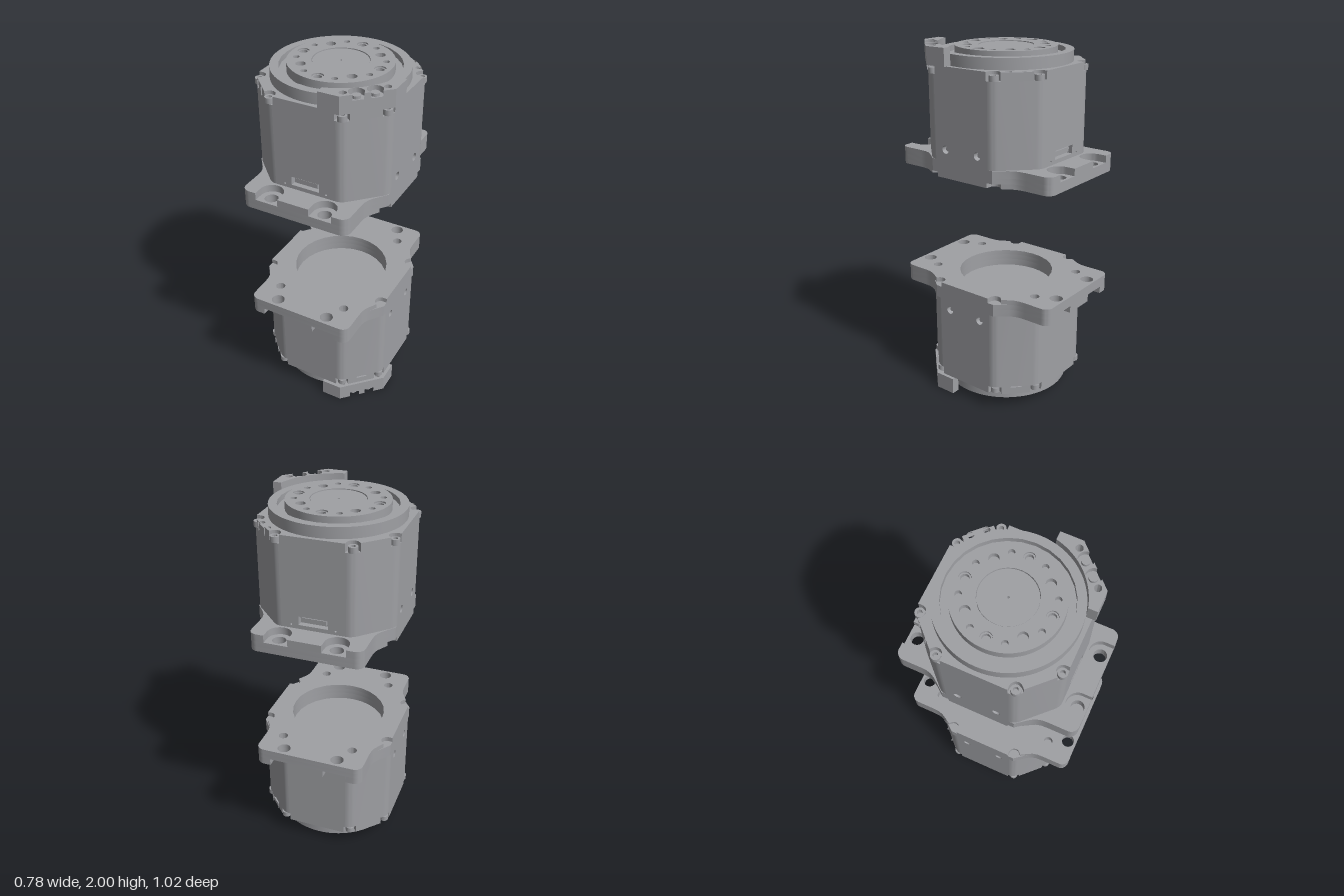
import * as THREE from 'three';
import { toCreasedNormals } from 'three/addons/utils/BufferGeometryUtils.js';

const metal = new THREE.MeshStandardMaterial({ color: 0x9fa0a4 });
metal.name = 'satin grey metal';

const V = (x, y) => new THREE.Vector2(x, y);

// Points of an arc, angles in degrees
function arc(cx, cy, r, a0, a1, n = 16) {
  return Array.from({ length: n + 1 }, (_, i) => {
    const a = THREE.MathUtils.degToRad(a0 + (a1 - a0) * i / n);
    return V(cx + r * Math.cos(a), cy + r * Math.sin(a));
  });
}

// Mirror one quarter outline into a full closed outline
function fourWay(q) {
  const r = [...q].reverse();
  return [...q, ...r.map(p => V(-p.x, p.y)), ...q.map(p => V(-p.x, -p.y)), ...r.map(p => V(p.x, -p.y))];
}

// Eight-way outline: half a quarter is reflected about the diagonal
const eightWay = h => fourWay([...h, ...[...h].reverse().map(p => V(p.y, p.x))]);

const circle = r => arc(0, 0, r, 0, 360 - 360 / 72, 71);

function makeShape(points, holes = []) {
  const s = new THREE.Shape(points);
  for (const [x, y, r] of holes) s.holes.push(new THREE.Path().absarc(x, y, r, 0, Math.PI * 2, true));
  return s;
}

// Horizontal slab between heights y0 and y1; outline is in x and z
function slab(points, y0, y1, holes) {
  const g = new THREE.ExtrudeGeometry(makeShape(points, holes), { depth: y1 - y0, bevelEnabled: false, curveSegments: 14 });
  return g.rotateX(Math.PI / 2).translate(0, y1, 0);
}

const cyl = (x, z, r, y0, y1) => new THREE.CylinderGeometry(r, r, y1 - y0, 24).translate(x, (y0 + y1) / 2, z);

// Turn a geometry upside down about y = 1, keeping faces outward
function flipped(geo) {
  const g = geo.clone(), p = g.attributes.position;
  for (let i = 0; i < p.count; i += 3) {
    const t = [0, 2, 1].map(k => [p.getX(i + k), 2 - p.getY(i + k), p.getZ(i + k)]);
    t.forEach((v, k) => p.setXYZ(i + k, ...v));
  }
  return g;
}

export function createModel() {
  const model = new THREE.Group();
  model.name = 'pairOfRotaryUnits';
  const upper = new THREE.Group(), lower = new THREE.Group();
  upper.name = 'upperUnit';
  lower.name = 'lowerUnit';
  model.add(upper, lower);

  // Every part goes into the upper unit and, inverted, into the lower one
  function add(name, geo) {
    const g = geo.index ? geo.toNonIndexed() : geo;
    g.clearGroups();
    for (const [unit, part] of [[upper, g], [lower, flipped(g)]]) {
      const mesh = new THREE.Mesh(toCreasedNormals(part, 0.5), metal);
      mesh.name = name;
      unit.add(mesh);
    }
  }

  const signs = [[1, 1], [-1, 1], [-1, -1], [1, -1]];
  const all = (x, z, r) => signs.map(([a, b]) => [a * x, b * z, r]);
  const W = 0.382, C = 0.585; // body half width, chamfer line x + z = C
  const sx = 0.36, sz = 0.2, sr = 0.032; // corner screw pocket
  const pocket = [V(W, sz - sr), ...arc(sx, sz, sr, -90, -225)];
  const end = pocket[pocket.length - 1], t = (C - end.x - end.y) / 2;
  pocket.push(V(end.x + t, end.y + t));

  // Base plate: notched foot, middle, and top with open bolt recesses
  const neck = [V(0.328, 0.272), V(0.314, 0.298), V(0.307, 0.325), V(0.305, 0.36)];
  const corner = arc(0.26, 0.465, 0.045, 0, 90, 8);
  const bolts = all(0.155, 0.46, 0.036);
  const dowels = all(0.205, 0.353, 0.026);
  const bore = [0, 0, 0.27];
  const plate = fourWay([V(W, C - W), ...neck, ...corner]);
  add('basePlateFoot', slab(fourWay([...pocket, ...neck, ...corner]), 1.313, 1.34, [bore, ...bolts, ...dowels]));
  add('basePlateMiddle', slab(plate, 1.34, 1.37, [bore, ...bolts, ...dowels]));
  const recess = [V(0.22, 0.51), ...arc(0.155, 0.46, 0.065, 0, -180, 20), V(0.09, 0.51)];
  add('basePlateTop', slab(fourWay([V(W, C - W), ...neck, ...corner, ...recess]), 1.37, 1.41, [bore]));

  // Body core, recessed on its four sides to take the side panels
  const P = 0.175, D = 0.35;
  const bend = new THREE.QuadraticBezierCurve(V(W, P), V(W, C - W), V(0.36, C - 0.36)).getPoints(6);
  add('bodyCore', slab(eightWay([V(D, P), ...bend]), 1.41, 1.86));

  // Side panels: connector windows front and back, screw holes left and right
  const rect = (x0, x1, y0, y1) => [V(x0, y0), V(x1, y0), V(x1, y1), V(x0, y1)];
  for (let i = 0; i < 4; i++) {
    const turn = g => g.rotateY(i * Math.PI / 2);
    const connector = i % 2 === 0;
    const holes = connector ? [[-0.12, 1.43, 0.005], [0.12, 1.43, 0.005]] : [[-0.107, 1.47, 0.022], [0.107, 1.47, 0.022]];
    const s = makeShape(rect(-P, P, 1.41, 1.86), holes);
    if (connector) s.holes.push(new THREE.Path(rect(-0.08, 0.08, 1.432, 1.48).reverse()));
    const panel = new THREE.ExtrudeGeometry(s, { depth: W - D, bevelEnabled: false, curveSegments: 12 });
    add('sidePanel', turn(panel.translate(0, 0, D)));
    if (connector) {
      add('connectorPlug', turn(new THREE.BoxGeometry(0.13, 0.026, 0.02).translate(0, 1.457, D + 0.01)));
    } else {
      for (const x of [-0.107, 0.107]) {
        add('sideScrew', turn(new THREE.CylinderGeometry(0.012, 0.012, 0.016, 16).rotateX(Math.PI / 2).translate(x, 1.47, D + 0.008)));
      }
    }
  }

  // Body top with screw pockets and small holes on the chamfered corners
  const small = [...all(0.315, 0.26 - 0.003, 0.018), ...all(0.257, 0.315, 0.018)];
  add('bodyTop', slab(eightWay(pocket), 1.86, 1.905, small));
  for (const [x, z] of [...all(sx, sz, 0), ...all(sz, sx, 0)]) {
    add('cornerScrew', slab(arc(x, z, 0.025, 0, 345, 23), 1.86, 1.89, [[x, z, 0.013]]));
  }

  // Round collar with a groove inside
  add('collarRim', slab(circle(0.36), 1.9, 1.965, [[0, 0, 0.315]]));
  add('grooveFloor', slab(circle(0.32), 1.9, 1.935));

  // Turntable with its ring of holes
  const onRing = (deg, r, hole) => {
    const a = THREE.MathUtils.degToRad(deg + 2);
    return [r * Math.cos(a), r * Math.sin(a), hole];
  };
  const holes = [];
  for (let k = 0; k < 4; k++) {
    const big = onRing(k * 90, 0.222, 0.03);
    holes.push(big, onRing(k * 90 + 45, 0.207, 0.026));
    holes.push(onRing(k * 90 + 22.5, 0.228, 0.017), onRing(k * 90 + 67.5, 0.228, 0.017));
    add('turntablePin', slab(arc(big[0], big[1], 0.029, 0, 345, 23), 1.95, 1.978, [[big[0], big[1], 0.021]]));
  }
  add('turntableBase', slab(circle(0.275), 1.93, 1.955));
  add('turntable', slab(circle(0.275), 1.955, 1.985, [[0, 0, 0.148], ...holes]));
  add('centreCap', slab(circle(0.145), 1.95, 1.981, [[0, 0, 0.006]]));

  // Corner bracket hugging the collar, with open screw seats on top
  const inner = arc(0, 0, 0.363, 75.7, 13.5, 20);
  const seats = [...arc(0.315, 0.25, 0.04, 0, -270, 20), ...arc(0.25, 0.315, 0.04, 0, -270, 20)];
  const outer = [V(0.4, 0.085), V(0.4, 0.205)], far = [V(0.205, 0.4), V(0.09, 0.4)];
  const pins = [[0.355, 0.2, 0.019], [0.2, 0.355, 0.019]];
  add('bracketBody', slab([...outer, ...far, ...inner], 1.905, 1.97, pins));
  add('bracketTop', slab([...outer, ...seats, ...far, ...inner], 1.97, 2, pins));
  for (const [x, z] of [[0.315, 0.25], [0.25, 0.315]]) add('bracketScrew', cyl(x, z, 0.022, 1.965, 1.985));

  model.position.x = -0.01;
  return model;
}
